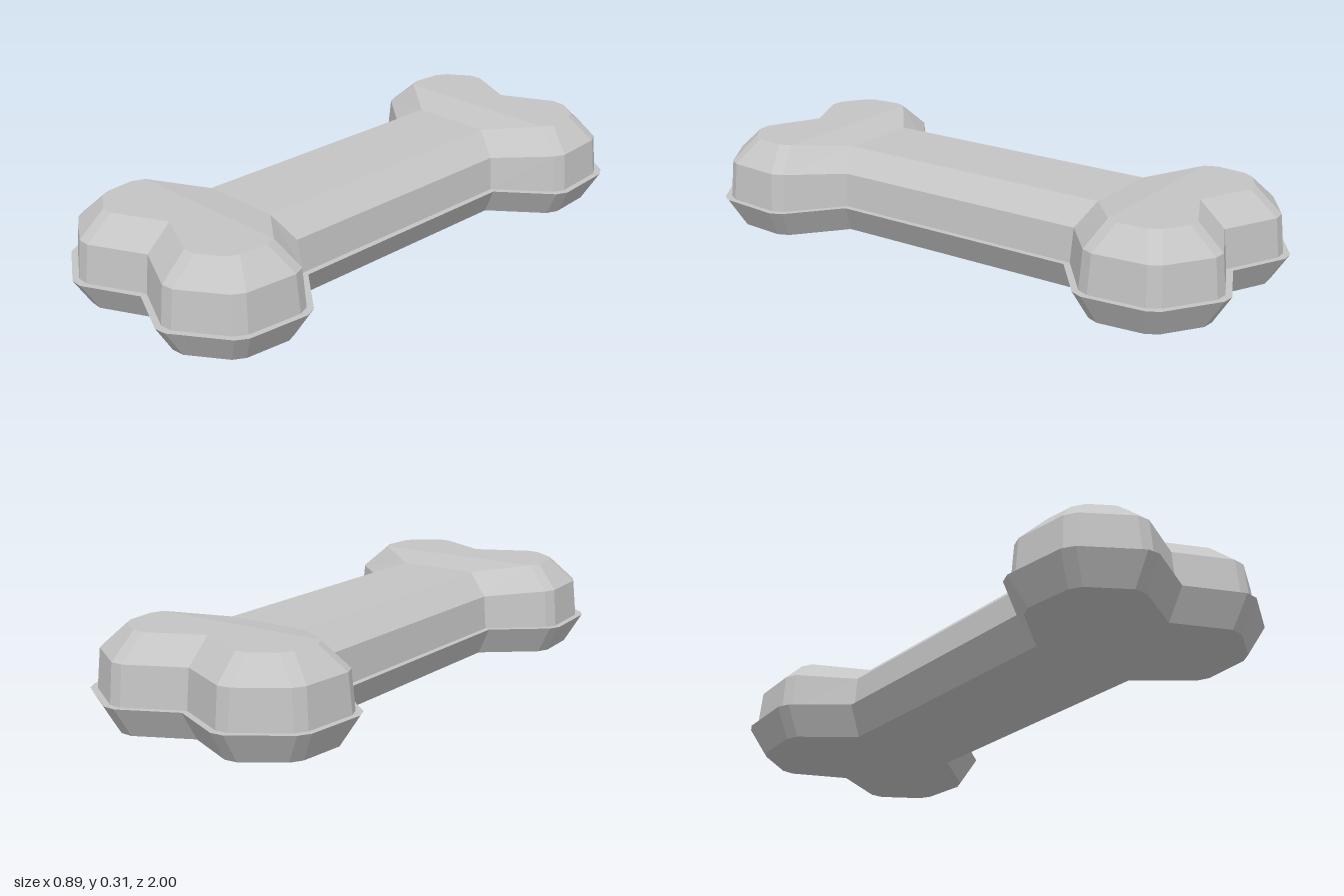
import * as THREE from 'three';

// One quadrant of the bone outline [x, z], from the end notch to the shaft corner
const QUADRANT = [[0, 0.91], [0.21, 1.012], [0.425, 0.868], [0.447, 0.605], [0.255, 0.45]];
const CHAMFER = 0.025;

// Mirror the quadrant into a closed outline
function fullOutline() {
  const right = [...QUADRANT, ...QUADRANT.map(([x, z]) => [x, -z]).reverse()];
  const left = right.slice(1, -1).map(([x, z]) => [-x, z]).reverse();
  return [...right, ...left].map(([x, z]) => new THREE.Vector2(x, z));
}

// Outline moved inward, with its convex corners cut; the shaft corners may sit lower
function makeLoop(inset, y, shaftDrop = 0) {
  const pts = fullOutline(), n = pts.length, out = [];
  const add = (p) => out.push(new THREE.Vector3(p.x, y, p.y));
  pts.forEach((p, i) => {
    const d1 = p.clone().sub(pts[(i + n - 1) % n]).normalize();
    const d2 = pts[(i + 1) % n].clone().sub(p).normalize();
    const n1 = new THREE.Vector2(d1.y, -d1.x), n2 = new THREE.Vector2(d2.y, -d2.x);
    const q = p.clone().addScaledVector(n1.clone().add(n2), inset / (1 + n1.dot(n2)));
    if (n1.dot(d2) > 0) {
      add(q.clone().addScaledVector(d1, -CHAMFER));
      add(q.clone().addScaledVector(d2, CHAMFER));
    } else {
      add(q);
    }
  });
  for (const i of [7, 8, 22, 23]) out[i].y -= shaftDrop;
  return out;
}

// Collects triangles from walls between loops and from flat polygons
class Surface {
  constructor() { this.points = []; }
  wall(a, b) {
    a.forEach((p, i) => {
      const j = (i + 1) % a.length;
      this.points.push(p, a[j], b[j], p, b[j], b[i]);
    });
  }
  cap(poly, down = false) {
    const flat = poly.map((p) => new THREE.Vector2(p.x, -p.z));
    for (const [a, b, c] of THREE.ShapeUtils.triangulateShape(flat, [])) {
      this.points.push(poly[a], ...(down ? [poly[c], poly[b]] : [poly[b], poly[c]]));
    }
  }
  mesh(name, material) {
    const geometry = new THREE.BufferGeometry().setFromPoints(this.points);
    geometry.computeVertexNormals();
    const mesh = new THREE.Mesh(geometry, material);
    mesh.name = name;
    return mesh;
  }
}

export function createModel() {
  const grey = new THREE.MeshStandardMaterial({ color: 0xc4c4c4, flatShading: true });
  grey.name = 'light grey';
  const group = new THREE.Group();
  group.name = 'bone';

  const foot = makeLoop(0.056, 0);
  const rim = makeLoop(0, 0.1);
  const lidFoot = makeLoop(0.021, 0.1);
  const shoulder = makeLoop(0.032, 0.23, 0.015);
  const top = makeLoop(0.112, 0.31, 0.022);

  // Flared tray with a narrow ledge
  const tray = new Surface();
  tray.cap(foot, true);
  tray.wall(foot, rim);
  tray.wall(rim, lidFoot);
  group.add(tray.mesh('tray', grey));

  // Upper body with bevelled edges
  const body = new Surface();
  body.wall(lidFoot, shoulder);
  body.wall(shoulder, top);
  group.add(body.mesh('bodySides', grey));

  // Top: raised knuckles, slopes and a lower shaft
  const crown = new Surface();
  const pick = (...ids) => ids.map((i) => top[i]);
  crown.cap([...top.slice(24), ...top.slice(0, 7)]);
  crown.cap(top.slice(9, 22));
  crown.cap(pick(23, 7, 8, 22));
  crown.cap(pick(24, 6, 7, 23));
  crown.cap(pick(22, 8, 9, 21));
  group.add(crown.mesh('bodyTop', grey));

  return group;
}
